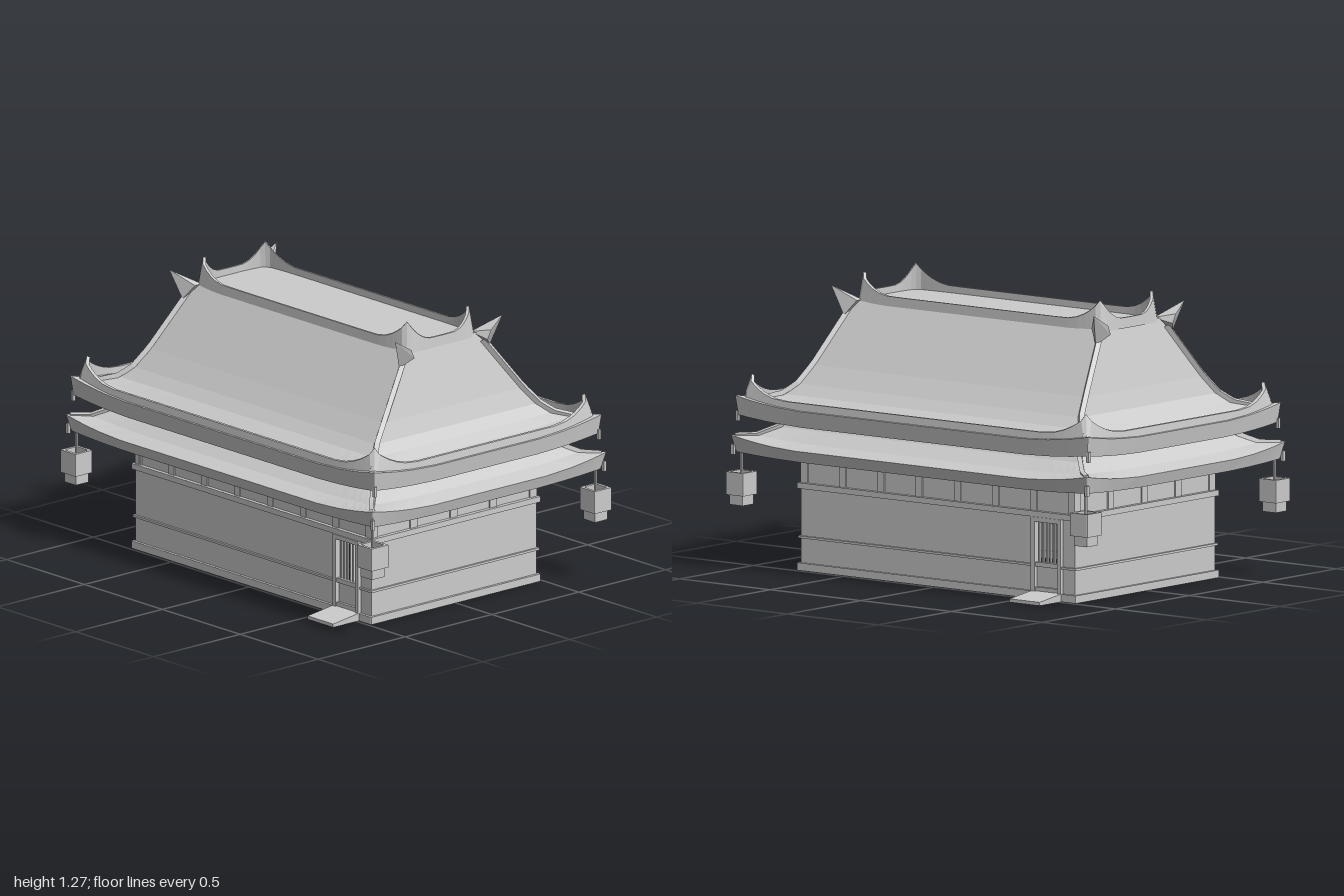
import * as THREE from 'three';
import { ConvexGeometry } from 'three/addons/geometries/ConvexGeometry.js';

const mat = new THREE.MeshStandardMaterial({ color: 0xcccccc, flatShading: true, side: THREE.DoubleSide });

function add(parent, name, geometry, x = 0, y = 0, z = 0) {
  const mesh = new THREE.Mesh(geometry, mat);
  mesh.name = name;
  mesh.position.set(x, y, z);
  parent.add(mesh);
  return mesh;
}

// Box given by its min and max on each axis
function block(parent, name, x0, x1, y0, y1, z0, z1) {
  return add(parent, name, new THREE.BoxGeometry(x1 - x0, y1 - y0, z1 - z0),
    (x0 + x1) / 2, (y0 + y1) / 2, (z0 + z1) / 2);
}

// One rectangular ring that rises, and can draw inwards, towards the four corners
function ringPoints([hx, hz, y, lift = 0, r = 0.004, pull = 0], reach) {
  const steps = [0.03, 0.06, 0.1, 0.15, 0.22, 0.35];
  const points = [];
  const edge = 1 - 10 * r;
  const put = (x, z, c) => points.push([x - Math.sign(x) * pull * c, y + lift * c, z - Math.sign(z) * pull * c]);
  const corners = [[1, 1], [1, -1], [-1, -1], [-1, 1]];
  corners.forEach(([sx, sz], i) => {
    const cx = sx * (hx - r), cz = sz * (hz - r);
    const start = Math.PI / 2 - i * Math.PI / 2;
    // rounded corner
    [0, 0.5, 1].forEach((t) => {
      const a = start - t * Math.PI / 2;
      put(cx + r * Math.cos(a), cz + r * Math.sin(a), t === 0.5 ? 1 : edge);
    });
    // side leading to the next corner
    const [nx, nz] = corners[(i + 1) % 4];
    const half = (i % 2 ? hx : hz) - r;
    const span = Math.min(reach, half * 0.68);
    const dists = steps.map((d) => d * Math.min(1, half / 0.37));
    const along = [...dists, ...dists.map((d) => 2 * half - d).reverse()];
    const a = start - Math.PI / 2;
    along.forEach((d) => {
      const t = d / (2 * half);
      const c = edge * Math.max(0, 1 - Math.min(d, 2 * half - d) / span) ** 2;
      put(cx + (nx * (hx - r) - cx) * t + r * Math.cos(a), cz + (nz * (hz - r) - cz) * t + r * Math.sin(a), c);
    });
  });
  return points;
}

// Skin joining successive rings: [halfX, halfZ, y, cornerLift, cornerRadius, cornerPull]
function loft(rows, reach) {
  const rings = rows.map((row) => ringPoints(row, reach));
  const n = rings[0].length;
  const index = [];
  for (let j = 0; j < rings.length - 1; j++) {
    for (let i = 0; i < n; i++) {
      const a = j * n + i, b = j * n + (i + 1) % n;
      index.push(a, b, b + n, a, b + n, a + n);
    }
  }
  const g = new THREE.BufferGeometry();
  g.setAttribute('position', new THREE.Float32BufferAttribute(rings.flat(2), 3));
  g.setIndex(index);
  const flat = g.toNonIndexed();
  flat.computeVertexNormals();
  return flat;
}

// Rectangular hoop of thickness t
function hoop(hx, hz, y0, y1, t) {
  return loft([[hx - t, hz - t, y0], [hx, hz, y0], [hx, hz, y1], [hx - t, hz - t, y1], [hx - t, hz - t, y0]], 0.1);
}

const vectors = (pts) => pts.map((p) => new THREE.Vector2(...p));

// Long wall with a door opening; side is +1 for the front, -1 for the back
function doorSide(side) {
  const g = new THREE.Group();
  g.name = side > 0 ? 'frontWall' : 'backWall';
  const wall = new THREE.Shape(vectors([[-0.757, 0], [0.757, 0], [0.757, 0.38], [-0.757, 0.38]]));
  wall.holes.push(new THREE.Path(vectors([[0.54, 0.03], [0.54, 0.335], [0.675, 0.335], [0.675, 0.03]])));
  add(g, 'wallPanel', new THREE.ExtrudeGeometry(wall, { depth: 0.016, bevelEnabled: false }), 0, 0, 0.459);
  // door frame, lower panel and window bars
  block(g, 'doorPost', 0.525, 0.545, 0.01, 0.35, 0.455, 0.492);
  block(g, 'doorPost', 0.67, 0.69, 0.01, 0.35, 0.455, 0.492);
  block(g, 'doorLintel', 0.525, 0.69, 0.335, 0.355, 0.455, 0.492);
  block(g, 'doorPanel', 0.545, 0.67, 0.03, 0.145, 0.463, 0.473);
  block(g, 'doorRail', 0.545, 0.67, 0.14, 0.16, 0.46, 0.485);
  block(g, 'doorRail', 0.545, 0.67, 0.03, 0.052, 0.46, 0.485);
  for (let i = 0; i < 6; i++) {
    const x = 0.558 + i * 0.02;
    block(g, 'windowBar', x - 0.004, x + 0.004, 0.16, 0.335, 0.464, 0.474);
  }
  // sloping entrance ramp
  const ramp = new THREE.Shape(vectors([[-0.48, 0], [-0.635, 0], [-0.635, 0.015], [-0.48, 0.035]]));
  add(g, 'ramp', new THREE.ExtrudeGeometry(ramp, { depth: 0.165, bevelEnabled: false }), 0.525).rotation.y = Math.PI / 2;
  if (side < 0) g.rotation.y = Math.PI;
  return g;
}

// Ridge running down a hip
function ridge(points, radius) {
  const path = new THREE.CurvePath();
  const v = points.map((p) => new THREE.Vector3(...p));
  for (let i = 1; i < v.length; i++) path.add(new THREE.LineCurve3(v[i - 1], v[i]));
  return new THREE.TubeGeometry(path, 16, radius, 4, false);
}

export function createModel() {
  const model = new THREE.Group();
  model.name = 'hippedRoofHall';

  // Walls
  const walls = new THREE.Group();
  walls.name = 'walls';
  model.add(walls);
  walls.add(doorSide(1), doorSide(-1));
  for (const s of [1, -1]) {
    block(walls, 'endWall', s * 0.749 - 0.008, s * 0.749 + 0.008, 0, 0.38, -0.46, 0.46);
    for (let i = 0; i < 8; i++) {
      const x = -0.738 + i * 1.476 / 7;
      block(walls, 'post', x - 0.018, x + 0.018, 0.37, 0.545, s * 0.463 - 0.013, s * 0.463 + 0.013);
    }
    for (let i = 0; i < 5; i++) {
      const z = -0.458 + i * 0.229;
      block(walls, 'post', s * 0.743 - 0.013, s * 0.743 + 0.013, 0.37, 0.545, z - 0.02, z + 0.02);
    }
  }
  add(walls, 'upperPanels', hoop(0.75, 0.47, 0.37, 0.55, 0.012));
  add(walls, 'topBand', hoop(0.77, 0.488, 0.355, 0.38, 0.036));
  add(walls, 'middleStrip', hoop(0.767, 0.485, 0.14, 0.15, 0.03));
  add(walls, 'baseSill', hoop(0.77, 0.488, 0, 0.033, 0.036));

  // Roofs
  const roof = new THREE.Group();
  roof.name = 'roof';
  model.add(roof);
  add(roof, 'lowerRoof', loft([
    [0.73, 0.45, 0.545], [0.97, 0.655, 0.5, 0.015], [0.985, 0.675, 0.55, 0.04],
    [0.9, 0.6, 0.572, 0.015], [0.83, 0.53, 0.62], [0.76, 0.46, 0.7]], 0.4));
  add(roof, 'upperRoof', loft([
    [0.75, 0.45, 0.69], [0.965, 0.648, 0.65, 0.025], [0.975, 0.657, 0.72, 0.04],
    [0.88, 0.575, 0.733, 0.015], [0.82, 0.513, 0.762], [0.78, 0.465, 0.805],
    [0.752, 0.4, 0.882], [0.678, 0.202, 1.15]], 0.4));
  add(roof, 'eaveRim', loft([
    [0.967, 0.65, 0.715, 0.03, 0.02, 0.012], [0.962, 0.645, 0.755, 0.095, 0.03, 0.03],
    [0.948, 0.632, 0.755, 0.09, 0.03, 0.026], [0.945, 0.63, 0.715, 0.02, 0.03, 0.02]], 0.22));
  add(roof, 'topRim', loft([
    [0.687, 0.211, 1.135, 0, 0.03, 0.008], [0.683, 0.208, 1.18, 0.088, 0.03, 0.02],
    [0.673, 0.199, 1.18, 0.085, 0.03, 0.02], [0.672, 0.198, 1.14, 0, 0.03, 0.01]], 0.17));
  block(roof, 'topDeck', -0.675, 0.675, 1.135, 1.15, -0.2, 0.2);

  // Corner parts: hip ridges, spikes, eave tabs and lanterns
  for (const sx of [1, -1]) for (const sz of [1, -1]) {
    const corner = new THREE.Group();
    corner.name = 'corner';
    model.add(corner);
    const at = (pts) => pts.map(([x, y, z]) => [x * sx, y, z * sz]);
    add(corner, 'upperHipRidge', ridge(at([[0.69, 1.12, 0.225], [0.753, 0.885, 0.4],
      [0.783, 0.808, 0.467], [0.823, 0.767, 0.515], [0.88, 0.748, 0.575], [0.94, 0.76, 0.63]]), 0.016));
    add(corner, 'lowerHipRidge', ridge(at([[0.77, 0.69, 0.47], [0.83, 0.625, 0.53],
      [0.9, 0.588, 0.6], [0.97, 0.585, 0.66]]), 0.014));
    add(corner, 'hipSpike', new ConvexGeometry(at([[0.725, 1.22, 0.31], [0.695, 1.085, 0.26],
      [0.648, 1.15, 0.23], [0.738, 1.13, 0.21], [0.74, 1.17, 0.23],
      [0.65, 1.15, 0.19]]).map((p) => new THREE.Vector3(...p))));
    const tab = new THREE.BoxGeometry(0.014, 0.045, 0.014);
    add(corner, 'upperEaveTab', tab, sx * 0.968, 0.67, sz * 0.645);
    add(corner, 'lowerEaveTab', tab, sx * 0.977, 0.526, sz * 0.666);
    add(corner, 'lanternRod', new THREE.BoxGeometry(0.01, 0.22, 0.01), sx * 0.95, 0.43, sz * 0.642);
    add(corner, 'lanternBody', hoop(0.049, 0.049, 0.33, 0.43, 0.014), sx * 0.95, 0, sz * 0.642);
    add(corner, 'lanternFoot', new THREE.BoxGeometry(0.072, 0.045, 0.072), sx * 0.95, 0.309, sz * 0.642);
  }
  return model;
}
